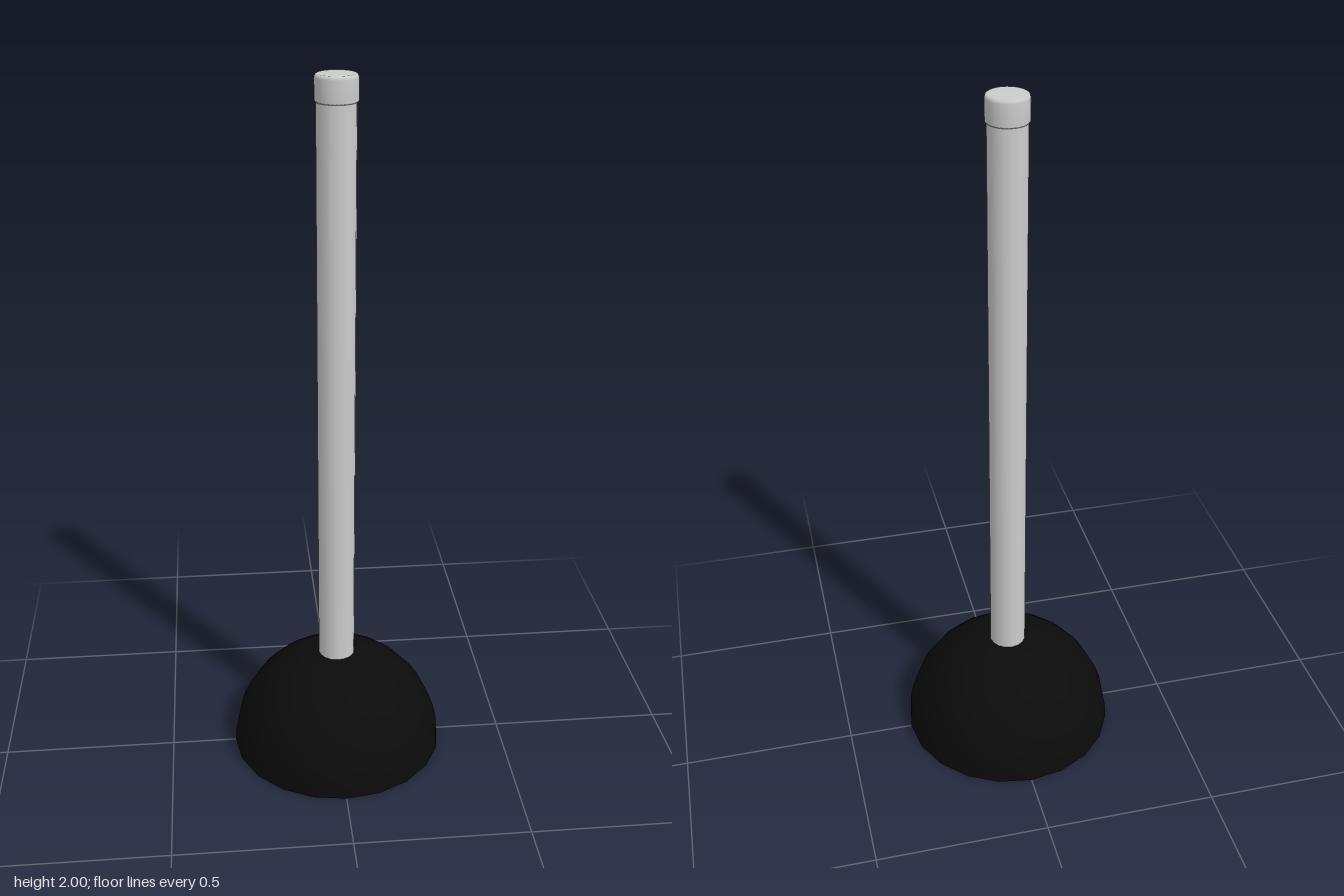
import * as THREE from 'three';

const R = 0.31;

function part(name, geometry, color, side = THREE.FrontSide) {
  const mesh = new THREE.Mesh(geometry, new THREE.MeshStandardMaterial({ color, side }));
  mesh.name = name;
  return mesh;
}

// Quarter-circle profile from the rim (y = 0) to the pole
function dome(radius, steps = 12) {
  return Array.from({ length: steps + 1 }, (_, i) => {
    const a = (i / steps) * Math.PI / 2;
    return new THREE.Vector2(i === steps ? 0 : radius * Math.cos(a), radius * Math.sin(a));
  });
}

export function createModel() {
  const model = new THREE.Group();
  model.name = 'plunger';

  // Hollow rubber cup: outer dome, inner dome and flat rim between them
  const cup = new THREE.Group();
  cup.name = 'cup';
  const inner = 0.26, black = 0x0b0b0b;
  cup.add(part('cupOutside', new THREE.LatheGeometry(dome(R), 20), black));
  cup.add(part('cupInside', new THREE.LatheGeometry(dome(inner).reverse(), 20), black));
  const rim = part('cupRim', new THREE.RingGeometry(inner, R, 20), black);
  rim.rotation.x = Math.PI / 2;
  cup.add(rim);
  model.add(cup);

  // Long straight handle, seated in the top of the cup
  const handle = part('handle', new THREE.CylinderGeometry(0.053, 0.053, 1.65, 16), 0xcccccc);
  handle.position.y = 0.29 + 1.65 / 2;
  model.add(handle);

  // End cap with a softly rounded top edge
  const capProfile = [[0, 1.93], [0.054, 1.93], [0.057, 1.934], [0.057, 1.99],
    [0.055, 1.997], [0.05, 2], [0, 2]].map(([x, y]) => new THREE.Vector2(x, y));
  model.add(part('endCap', new THREE.LatheGeometry(capProfile, 32), 0xcccccc));

  return model;
}
